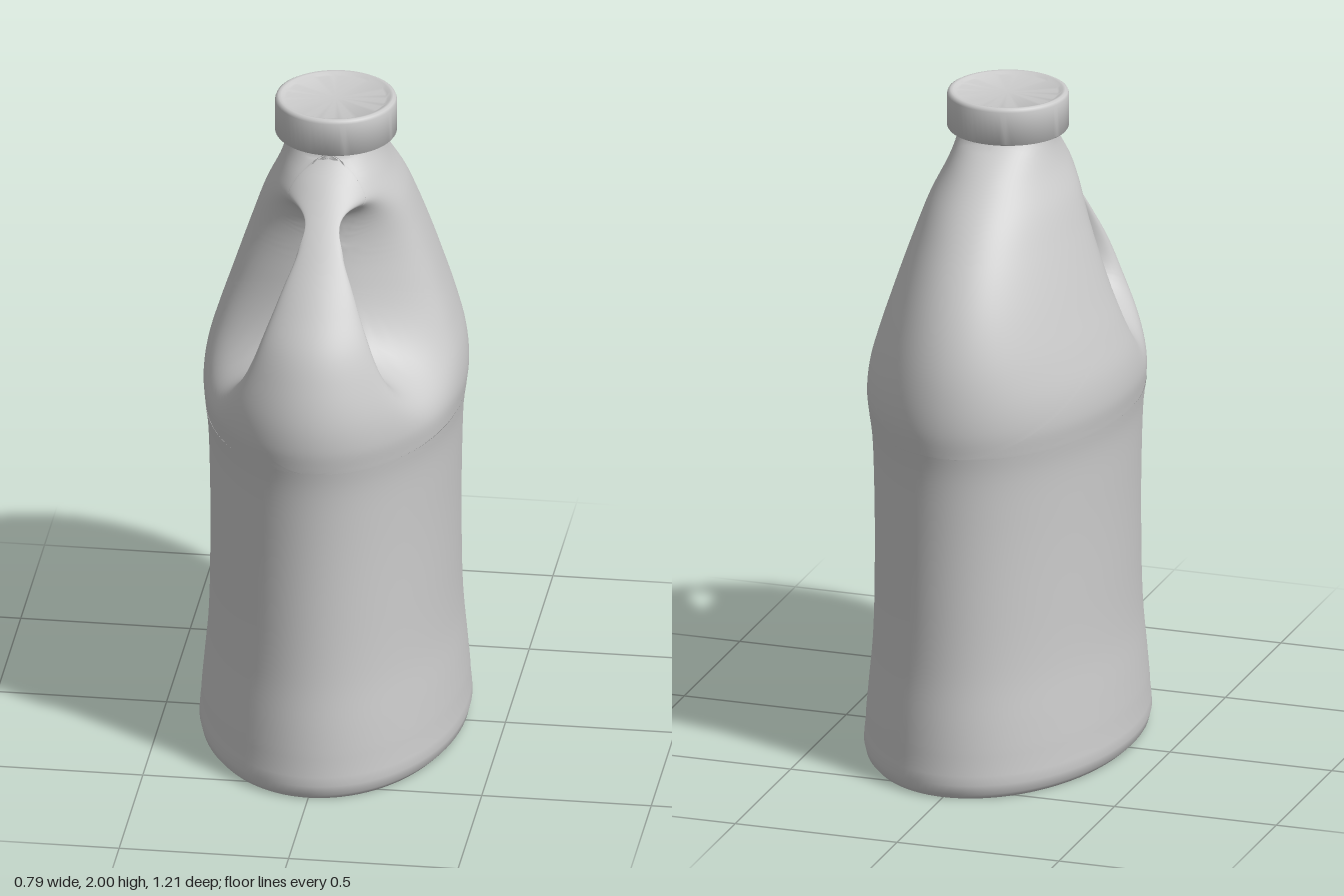
import * as THREE from 'three';
import { mergeVertices, toCreasedNormals } from 'three/addons/utils/BufferGeometryUtils.js';

const material = new THREE.MeshStandardMaterial({ color: 0xcccccc, side: THREE.DoubleSide });

// Oval outline by height: [y, half width, front depth, back depth]
const outline = [
  [0, 0.372, 0.585, 0.585], [0.015, 0.387, 0.597, 0.597], [0.1, 0.389, 0.598, 0.598],
  [0.2, 0.381, 0.592, 0.592], [0.36, 0.367, 0.578, 0.578], [0.6, 0.362, 0.572, 0.572],
  [0.85, 0.364, 0.574, 0.574], [1.0, 0.37, 0.582, 0.582], [1.06, 0.378, 0.591, 0.591],
  [1.12, 0.384, 0.598, 0.598], [1.2, 0.376, 0.594, 0.596], [1.3, 0.348, 0.57, 0.58],
  [1.4, 0.315, 0.53, 0.548], [1.5, 0.282, 0.463, 0.5], [1.6, 0.248, 0.388, 0.435],
  [1.7, 0.212, 0.31, 0.352], [1.8, 0.165, 0.222, 0.245], [1.85, 0.149, 0.172, 0.185],
  [1.88, 0.145, 0.15, 0.15], [1.92, 0.144, 0.144, 0.144],
];
const spline = new THREE.CubicInterpolant(
  outline.map(r => r[0]), outline.flatMap(r => r.slice(1)), 3, new Float32Array(3));
const section = y => {
  const [width, front, back] = spline.evaluate(y);
  return { width, front, back };
};

const SEAM = 1.05, TOP = 1.91;

function geometryFrom(positions, index) {
  const g = new THREE.BufferGeometry();
  g.setAttribute('position', new THREE.Float32BufferAttribute(positions, 3));
  g.setIndex(index);
  return g;
}

// Lower body: stacked oval rings, closed underneath
function lowerBody() {
  const N = 96, ys = [0, 0, 0.005, 0.015];
  for (let i = 1; i <= 36; i++) ys.push(0.015 + (SEAM - 0.015) * i / 36);
  const pos = [], idx = [];
  ys.forEach((y, r) => {
    const s = section(y), k = r === 0 ? 0 : 1;
    for (let i = 0; i <= N; i++) {
      const a = i / N * Math.PI * 2, sn = Math.sin(a);
      pos.push(k * s.width * Math.cos(a), y, k * sn * (sn > 0 ? s.front : s.back));
    }
  });
  for (let r = 0; r < ys.length - 1; r++) {
    for (let i = 0; i < N; i++) {
      const a = r * (N + 1) + i, b = a + N + 1;
      if (r > 0) idx.push(a, b, a + 1);
      idx.push(b, b + 1, a + 1);
    }
  }
  return toCreasedNormals(mergeVertices(geometryFrom(pos, idx)), 0.7);
}

// Grip hole: a tilted, slightly squared oval seen from the side
const hole = { z: 0.277, y: 1.518, long: 0.213, short: 0.081, tilt: 0.23 };
function holePoint(angle) {
  const a = angle - hole.tilt, p = 2.4;
  const r = (Math.abs(Math.cos(a) / hole.short) ** p + Math.abs(Math.sin(a) / hole.long) ** p) ** (-1 / p);
  return [hole.z + r * Math.cos(angle), hole.y + r * Math.sin(angle)];
}

// Shoulder with handle: two mirrored half shells spread from the hole to the side silhouette
function shoulder() {
  const rim = [], M = 40;
  const add = (n, f) => { for (let i = 0; i < n; i++) rim.push(f(i / n)); };
  const low = section(SEAM), high = section(TOP), rise = t => SEAM + (TOP - SEAM) * t;
  add(48, t => [low.front + (-low.back - low.front) * (0.5 - Math.cos(Math.PI * t) / 2), SEAM]);
  add(48, t => [-section(rise(t)).back, rise(t)]);
  add(20, t => [-high.back + (high.front + high.back) * t, TOP]);
  add(60, t => [section(rise(1 - t)).front, rise(1 - t)]);
  const inner = rim.map(([z, y]) => holePoint(Math.atan2(y - hole.y, z - hole.z)));

  // Half width: the oval, pinched in towards the edge of the hole
  function halfWidth(z, y) {
    const s = section(y), q = z / (z > 0 ? s.front : s.back);
    const oval = s.width * Math.sqrt(Math.max(0, 1 - q * q));
    let d = Infinity;
    for (const [hz, hy] of inner) d = Math.min(d, Math.hypot(z - hz, y - hy));
    const pinch = 0.6 * Math.sqrt(d) + 0.8 * d + 25 * d ** 3;
    if (oval < 1e-5 || pinch < 1e-5) return 0;
    return (oval ** -4 + pinch ** -4) ** -0.25;
  }

  const pos = [], idx = [], n = rim.length, half = n * (M + 1);
  for (const side of [1, -1]) {
    for (let i = 0; i < n; i++) {
      for (let j = 0; j <= M; j++) {
        const t = 0.5 - Math.cos(Math.PI * j / M) / 2;
        const z = inner[i][0] + (rim[i][0] - inner[i][0]) * t;
        const y = inner[i][1] + (rim[i][1] - inner[i][1]) * t;
        // silhouette points on the front and back lie on the middle plane
        const onSilhouette = j === M && y > SEAM + 1e-4 && y < TOP - 1e-4;
        pos.push(j === 0 || onSilhouette ? 0 : side * halfWidth(z, y), y, z);
      }
    }
    const base = side > 0 ? 0 : half;
    for (let i = 0; i < n; i++) {
      for (let j = 0; j < M; j++) {
        const a = base + i * (M + 1) + j, c = base + ((i + 1) % n) * (M + 1) + j;
        if (side > 0) idx.push(a, a + 1, c, a + 1, c + 1, c);
        else idx.push(a, c, a + 1, a + 1, c, c + 1);
      }
    }
  }
  const g = mergeVertices(geometryFrom(pos, idx), 1e-5);
  g.computeVertexNormals();
  return g;
}

// Screw cap: rounded rim and a shallow dished top
function cap() {
  const profile = [
    [0, 1.885], [0.174, 1.885], [0.178, 1.89], [0.178, 1.988], [0.175, 1.996],
    [0.168, 2], [0.16, 1.999], [0.152, 1.993], [0.145, 1.991], [0, 1.991],
  ].map(p => new THREE.Vector2(...p));
  return toCreasedNormals(new THREE.LatheGeometry(profile, 64), 0.8);
}

export function createModel() {
  const group = new THREE.Group();
  group.name = 'jug';
  const parts = { lowerBody: lowerBody(), shoulderAndHandle: shoulder(), cap: cap() };
  for (const [name, geometry] of Object.entries(parts)) {
    const mesh = new THREE.Mesh(geometry, material);
    mesh.name = name;
    group.add(mesh);
  }
  return group;
}
